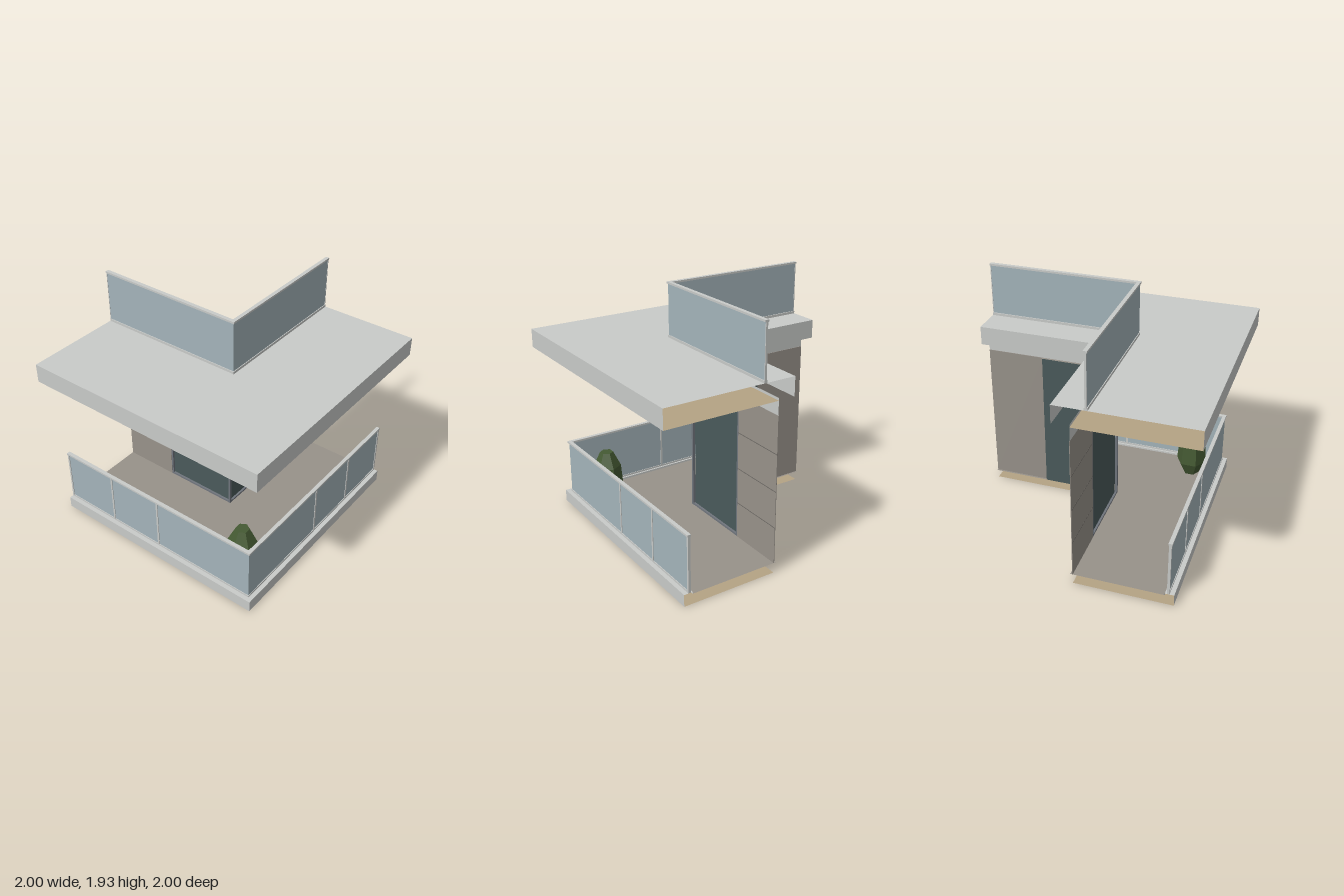
import * as THREE from 'three';

const material = (name, color) => {
  const m = new THREE.MeshStandardMaterial({ color, side: THREE.DoubleSide });
  m.name = name;
  return m;
};

export function createModel() {
  const concrete = material('pale concrete', 0xc9cbc9);
  const soffitTan = material('tan soffit', 0xb5a384);
  const stone = material('beige stone', 0x98928a);
  const glass = material('blue balustrade glass', 0xa4b4ba);
  const doorGlass = material('dark door glass', 0x4a5a5b);
  const frame = material('door frame grey', 0x70757d);
  const joint = material('panel joint', 0x6c6964);
  const leaf = material('leaf green', 0x455a33);

  const model = new THREE.Group();
  model.name = 'cornerBalcony';

  const add = (name, geometry, mat) => {
    const mesh = new THREE.Mesh(geometry, mat);
    mesh.name = name;
    model.add(mesh);
    return mesh;
  };

  // Open sheet following the corner: profile points are [distance from corner lines, height]
  const sheet = (name, mat, profile, end = 1) => {
    const pos = [];
    const path = ([d, y]) => [[end, y, d], [-d, y, d], [-d, y, -end]];
    for (let i = 0; i < profile.length - 1; i++) {
      const a = path(profile[i]), b = path(profile[i + 1]);
      for (let k = 0; k < 2; k++) {
        pos.push(...a[k], ...b[k], ...a[k + 1], ...b[k], ...b[k + 1], ...a[k + 1]);
      }
    }
    const g = new THREE.BufferGeometry();
    g.setAttribute('position', new THREE.Float32BufferAttribute(pos, 3));
    g.computeVertexNormals();
    return add(name, g, mat);
  };

  const box = (name, mat, x0, x1, y0, y1, z0, z1) => {
    const mesh = add(name, new THREE.BoxGeometry(x1 - x0, y1 - y0, z1 - z0), mat);
    mesh.position.set((x0 + x1) / 2, (y0 + y1) / 2, (z0 + z1) / 2);
  };

  // Same box on the front arm and mirrored across the corner onto the side arm
  const pair = (name, mat, x0, x1, y0, y1, z0, z1) => {
    box(name + 'Front', mat, x0, x1, y0, y1, z0, z1);
    box(name + 'Side', mat, -z1, -z0, y0, y1, -x1, -x0);
  };

  // Balcony slab: outer face with kerb, floor and underside
  sheet('slabKerb', concrete, [[0.86, 0], [0.86, 0.095], [0.79, 0.095], [0.79, 0.08]]);
  sheet('floor', stone, [[0.79, 0.08], [0.07, 0.08]]);
  sheet('slabUnderside', soffitTan, [[0.86, 0], [0.09, 0]]);

  // Roof slab, hollow and open at both cut ends
  sheet('roofSlab', concrete, [[1, 1.35], [1, 1.5], [-0.045, 1.5], [-0.045, 1.35]]);
  sheet('roofSoffit', soffitTan, [[1, 1.35], [0.09, 1.35]]);
  sheet('header', concrete, [[0.09, 1.24], [0.09, 1.37]]);

  // Corner glazing, set back behind the wall face
  sheet('cornerGlazing', doorGlass, [[0.07, 0.08], [0.07, 1.24]], 0.54);
  sheet('lintelReveal', stone, [[0.07, 1.24], [0.09, 1.24]], 0.54);
  box('cornerFrame', frame, -0.09, -0.071, 0.08, 1.239, 0.071, 0.09);
  pair('frameJamb', frame, 0.523, 0.539, 0.08, 1.239, 0.071, 0.088);
  pair('frameHead', frame, -0.08, 0.539, 1.22, 1.239, 0.071, 0.088);
  pair('frameSill', frame, -0.08, 0.539, 0.08, 0.095, 0.071, 0.088);

  // Stone walls with panel joints
  pair('wall', stone, 0.54, 1, 0.08, 1.24, 0.085, 0.09);
  pair('wallReveal', stone, 0.54, 0.545, 0.08, 1.24, 0.07, 0.0895);
  for (const y of [0.37, 0.657, 0.947]) {
    pair('wallJoint', joint, 0.54, 1, y - 0.003, y + 0.003, 0.089, 0.091);
  }

  // Balcony balustrade
  pair('balconyGlass', glass, -0.82, 0.99, 0.1, 0.54, 0.81, 0.82);
  pair('balconyBottomRail', concrete, -0.825, 1, 0.095, 0.11, 0.805, 0.825);
  pair('balconyTopRail', concrete, -0.83, 1, 0.535, 0.55, 0.8, 0.83);
  for (const x of [0.05, 0.52, 0.992]) {
    pair('balconyPost', concrete, x - 0.008, x + 0.008, 0.1, 0.54, 0.805, 0.825);
  }

  // Roof balustrade
  pair('roofGlass', glass, -0.212, 0.995, 1.51, 1.925, 0.2, 0.212);
  pair('roofBottomRail', concrete, -0.218, 1, 1.5, 1.52, 0.192, 0.218);
  pair('roofTopRail', concrete, -0.22, 1, 1.92, 1.935, 0.19, 0.22);
  pair('roofEndPost', concrete, 0.994, 1, 1.51, 1.925, 0.198, 0.214);

  // Faceted six-sided bush in the outer corner
  const profile = [[0, 0.08], [0.068, 0.08], [0.125, 0.2], [0.112, 0.365], [0.053, 0.485], [0, 0.485]]
    .map(([r, y]) => new THREE.Vector2(r, y));
  const bushGeometry = new THREE.LatheGeometry(profile, 6, Math.PI / 6).toNonIndexed();
  bushGeometry.computeVertexNormals();
  add('bush', bushGeometry, leaf).position.set(-0.595, 0, 0.595);

  return model;
}
